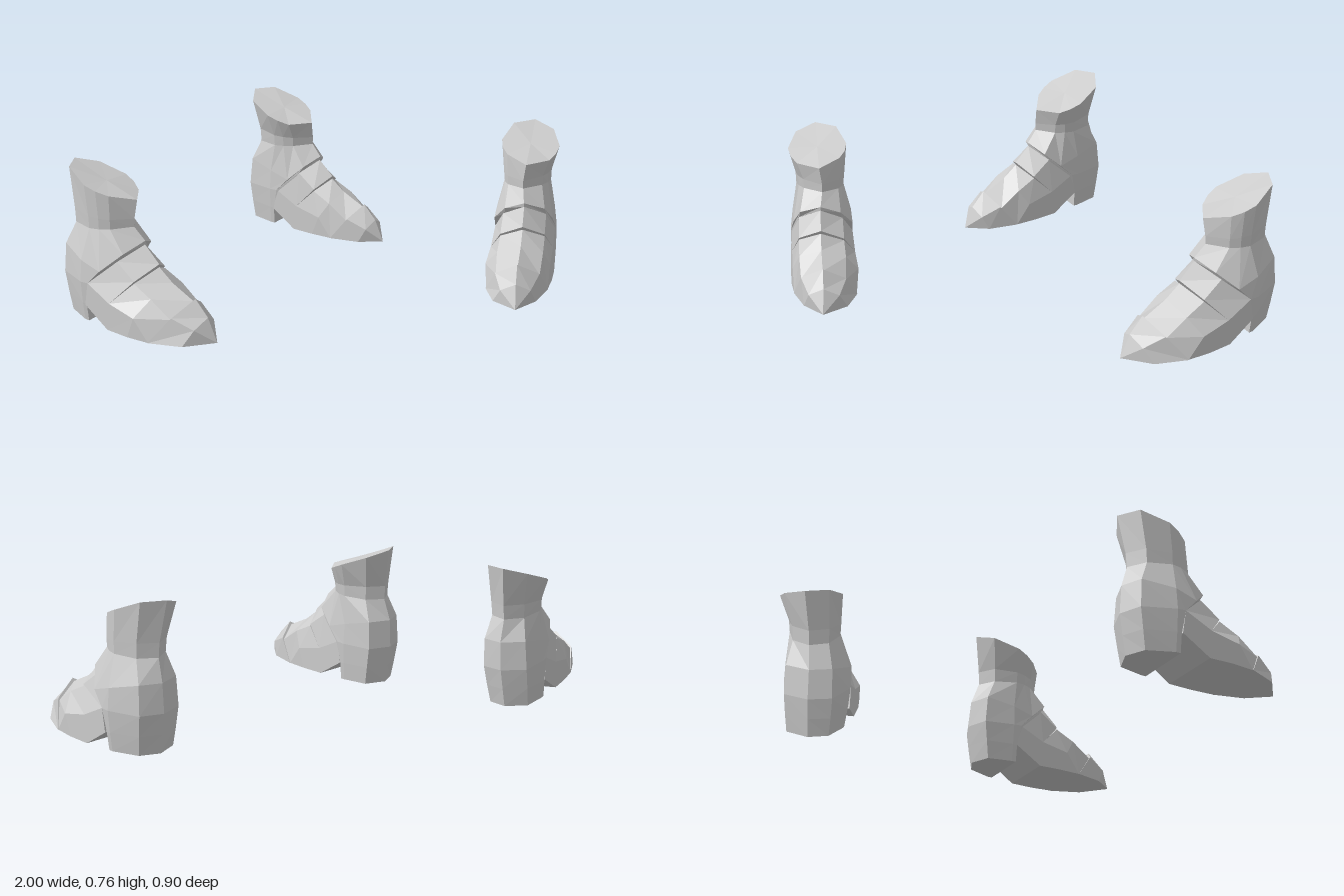
import * as THREE from 'three';

const AXIS = 0.79;      // x of each boot's middle line
const SHOULDER = 0.35;  // where the crease lies between ridge and side

// Profile points are [z, y]; x is an offset from the middle line
const pt = ([z, y], x) => new THREE.Vector3(AXIS + x, y, z);
const mix = (a, b, t) => a.map((v, i) => v + (b[i] - v) * t);

// Slanted section of the foot: ridge, shoulder, side, sole edge; inner half narrower
function footSection(ridge, side, sole, w) {
  const shoulder = mix(ridge, side, SHOULDER);
  return [
    pt(ridge, 0), pt(shoulder, 0.64 * w), pt(side, w), pt(sole, w),
    pt(sole, -0.68 * w), pt(side, -0.68 * w), pt(shoulder, -0.54 * w),
  ];
}

// Ring around the heel, its front following the slanted edge of the instep
function heelRing(front, side, back, w) {
  const shoulder = mix(front, side, SHOULDER);
  const middle = [-0.24, (side[1] + back[1]) / 2];
  const corner = [back[0] + 0.045, back[1]];
  return [
    pt(front, 0), pt(shoulder, 0.6 * w), pt(side, w), pt(middle, w), pt(corner, 0.68 * w),
    pt(back, 0.02),
    pt(corner, -0.54 * w), pt(middle, -0.7 * w), pt(side, -0.7 * w), pt(shoulder, -0.55 * w),
  ];
}

// Ring around the shaft, optionally lower on the inner side
function shaftRing(front, back, shift, w, drop) {
  const at = (t, k) => {
    const z = front[0] + (back[0] - front[0]) * t;
    const y = front[1] + (back[1] - front[1]) * Math.min(1, t / 0.86);
    return pt([z, k < 0 ? y - drop : y], shift + k * w);
  };
  const half = [[0.21, 0.72], [0.35, 0.92], [0.5, 1], [0.84, 0.7]];
  return [
    at(0, 0), ...half.map(([t, k]) => at(t, k)),
    at(1, 0), ...half.reverse().map(([t, k]) => at(t, -k)),
  ];
}

// Flat-faceted closed skin through a series of loops; side -1 mirrors it
function loft(loops, side) {
  const n = loops[0].length, pos = [];
  const tri = (a, b, c) => {
    const area = b.clone().sub(a).cross(c.clone().sub(a)).length();
    if (area < 1e-8) return;
    for (const p of side > 0 ? [a, b, c] : [a, c, b]) pos.push(side * p.x, p.y, p.z);
  };
  const cap = (loop, flip) => {
    const c = loop.reduce((m, p) => m.add(p), new THREE.Vector3()).divideScalar(n);
    loop.forEach((p, i) => {
      const q = loop[(i + 1) % n];
      if (flip) tri(c, q, p);
      else tri(c, p, q);
    });
  };
  for (let s = 0; s < loops.length - 1; s++) {
    const a = loops[s], b = loops[s + 1];
    for (let i = 0; i < n; i++) {
      const j = (i + 1) % n;
      tri(a[i], a[j], b[j]);
      tri(a[i], b[j], b[i]);
    }
  }
  cap(loops[0], true);
  cap(loops[loops.length - 1], false);
  const g = new THREE.BufferGeometry();
  g.setAttribute('position', new THREE.Float32BufferAttribute(pos, 3));
  g.computeVertexNormals();
  return g;
}

// Points shared by neighbouring parts
const tip = [0.45, 0], toeHem = [0.18, 0];
const vampSide = [-0.055, 0.145], vampSole = [-0.07, 0];
const instepTop = [0.013, 0.405], instepSide = [-0.195, 0.215];
const archTop = [-0.215, 0.095], heelFront = [-0.215, 0];

const parts = {
  toeCap: [
    footSection(tip, tip, tip, 0),
    footSection([0.395, 0.118], [0.34, 0], [0.34, 0], 0.135),
    footSection([0.32, 0.197], toeHem, toeHem, 0.2),
  ],
  vamp: [
    footSection([0.308, 0.182], toeHem, toeHem, 0.197),
    footSection([0.18, 0.245], [0.1, 0.11], [0.06, 0], 0.208),
    footSection([0.1, 0.307], vampSide, vampSole, 0.203),
  ],
  instepPlate: [
    footSection([0.1, 0.322], vampSide, vampSole, 0.203),
    footSection(instepTop, instepSide, archTop, 0.198),
  ],
  heelAndShaft: [
    heelRing(heelFront, heelFront, [-0.417, 0], 0.175),
    heelRing(archTop, archTop, [-0.432, 0.1], 0.188),
    heelRing(instepTop, instepSide, [-0.447, 0.21], 0.198),
    heelRing([0.015, 0.425], [-0.125, 0.29], [-0.437, 0.36], 0.188),
    shaftRing([-0.045, 0.488], [-0.4, 0.475], 0.01, 0.128, 0),
    shaftRing([-0.043, 0.53], [-0.405, 0.55], 0.008, 0.132, 0),
    shaftRing([-0.04, 0.622], [-0.44, 0.759], -0.012, 0.157, 0.033),
  ],
};

export function createModel() {
  const model = new THREE.Group();
  model.name = 'bootPair';
  const grey = new THREE.MeshStandardMaterial({ color: 0xcccccc });
  grey.name = 'lightGrey';

  // left boot (+x) and its mirror image
  for (const [name, side] of [['leftBoot', 1], ['rightBoot', -1]]) {
    const boot = new THREE.Group();
    boot.name = name;
    for (const [part, loops] of Object.entries(parts)) {
      const mesh = new THREE.Mesh(loft(loops, side), grey);
      mesh.name = part;
      boot.add(mesh);
    }
    model.add(boot);
  }
  return model;
}
